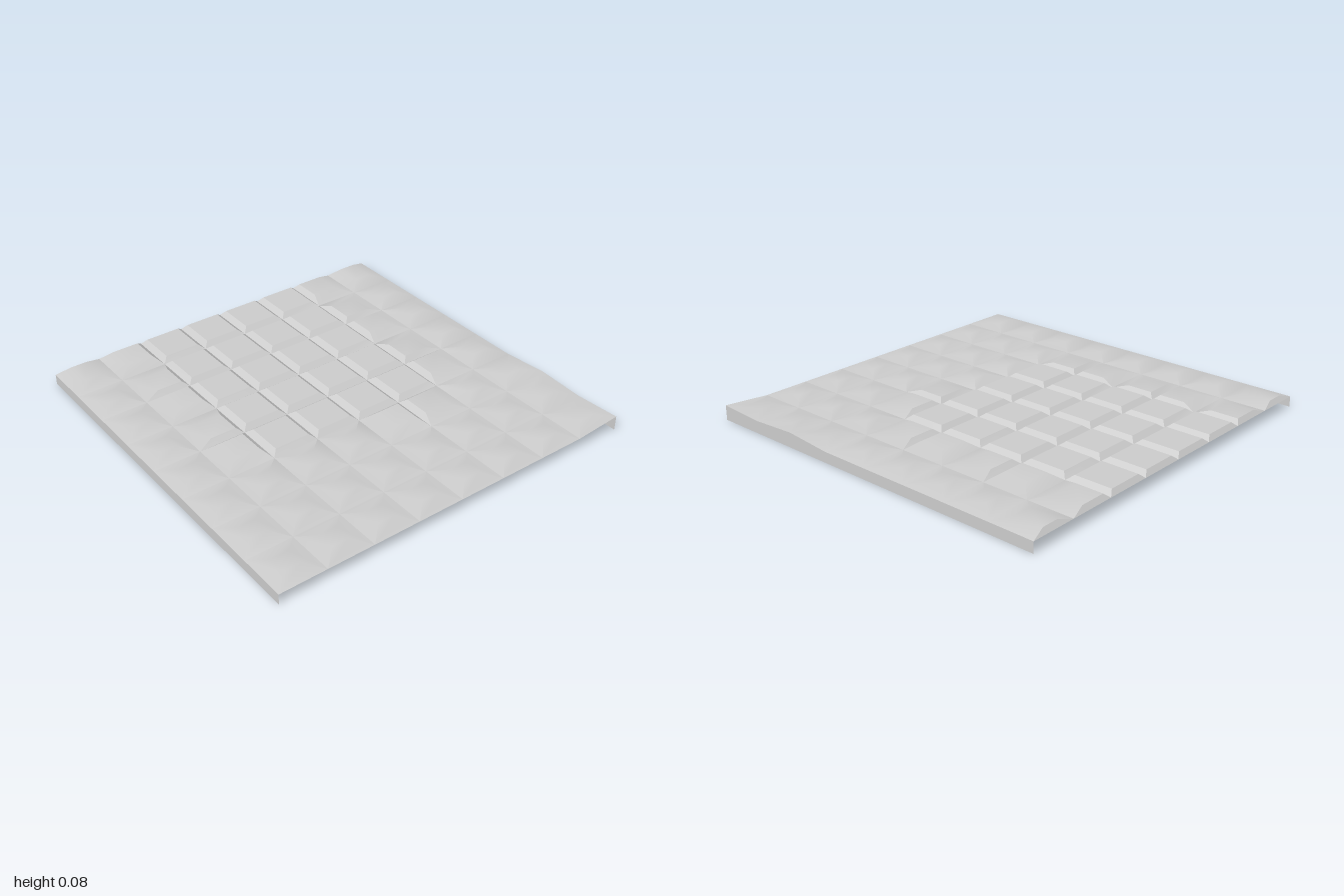
import * as THREE from 'three';
import { toCreasedNormals } from 'three/addons/utils/BufferGeometryUtils.js';

const N = 8, S = 0.25;            // tiles per side, tile size
const TOP = 0.08, GROOVE = 0.056; // tile top and groove heights
const SHARP = 0.03, SOFT = 0.08;  // narrow bevel and gentle slope widths

// Height of the groove grid; the front part of the +x rim is raised
const grooveY = (x, z) => (x === 1 && z >= 0.5 ? (z === 0.75 ? 0.065 : 0.078) : GROOVE);

// Crisp-bevelled sides of the tile in column c, row r (row 0 is at the back)
function bevelSides(c, r) {
  if (c >= 2 && c <= 5 && r <= 4) return 'NESW';
  const zSide = r === 0 || r === 2 || r === 4 ? 'N' : 'S';
  if (c === 1 && r <= 4) return zSide + 'E';
  if (c === 6 && r <= 4) return zSide + 'W';
  if (r === 5 && c === 4) return 'NE';
  if (r === 5 && c === 5) return 'NW';
  return '';
}

// A pillow tile: flat top with four sloping sides, going down to the grooves
function addTile(pos, c, r) {
  const x0 = -1 + c * S, x1 = x0 + S, z0 = -1 + r * S, z1 = z0 + S;
  const sides = bevelSides(c, r);
  const inset = (s) => {
    if (s === 'N' && r === 0) return 0.02;
    return sides.includes(s) ? SHARP : SOFT;
  };
  const a = x0 + inset('W'), b = x1 - inset('E');
  const d = z0 + inset('N'), e = z1 - inset('S');
  const outer = [[x0, z0], [x1, z0], [x1, z1], [x0, z1]].map(([x, z]) => [x, grooveY(x, z), z]);
  const inner = [[a, d], [b, d], [b, e], [a, e]].map(([x, z]) => [x, TOP, z]);
  const quad = (p, q, s, t) => pos.push(...p, ...q, ...s, ...p, ...s, ...t);
  quad(inner[3], inner[2], inner[1], inner[0]);
  for (let k = 0; k < 4; k++) {
    const n = (k + 1) % 4;
    quad(inner[k], inner[n], outer[n], outer[k]);
  }
}

export function createModel() {
  const group = new THREE.Group();
  group.name = 'tiledPanel';
  const material = new THREE.MeshStandardMaterial({ color: 0xcccccc, side: THREE.DoubleSide });

  // Tiled top surface
  const pos = [];
  for (let r = 0; r < N; r++) for (let c = 0; c < N; c++) addTile(pos, c, r);
  let geo = new THREE.BufferGeometry();
  geo.setAttribute('position', new THREE.Float32BufferAttribute(pos, 3));
  geo = toCreasedNormals(geo, Math.PI / 6);
  const tiles = new THREE.Mesh(geo, material);
  tiles.name = 'tiles';
  group.add(tiles);

  // Thin side walls hanging from the left and right rims
  for (const side of [1, -1]) {
    const wall = new THREE.PlaneGeometry(2, 1, N, 1);
    wall.rotateY(side * Math.PI / 2);
    const p = wall.attributes.position;
    for (let i = 0; i < p.count; i++) {
      const z = Math.round(p.getZ(i) * 4) / 4;
      p.setXYZ(i, side, p.getY(i) > 0 ? grooveY(side, z) : 0, z);
    }
    wall.computeVertexNormals();
    const mesh = new THREE.Mesh(wall, material);
    mesh.name = side > 0 ? 'leftWall' : 'rightWall';
    group.add(mesh);
  }
  return group;
}
